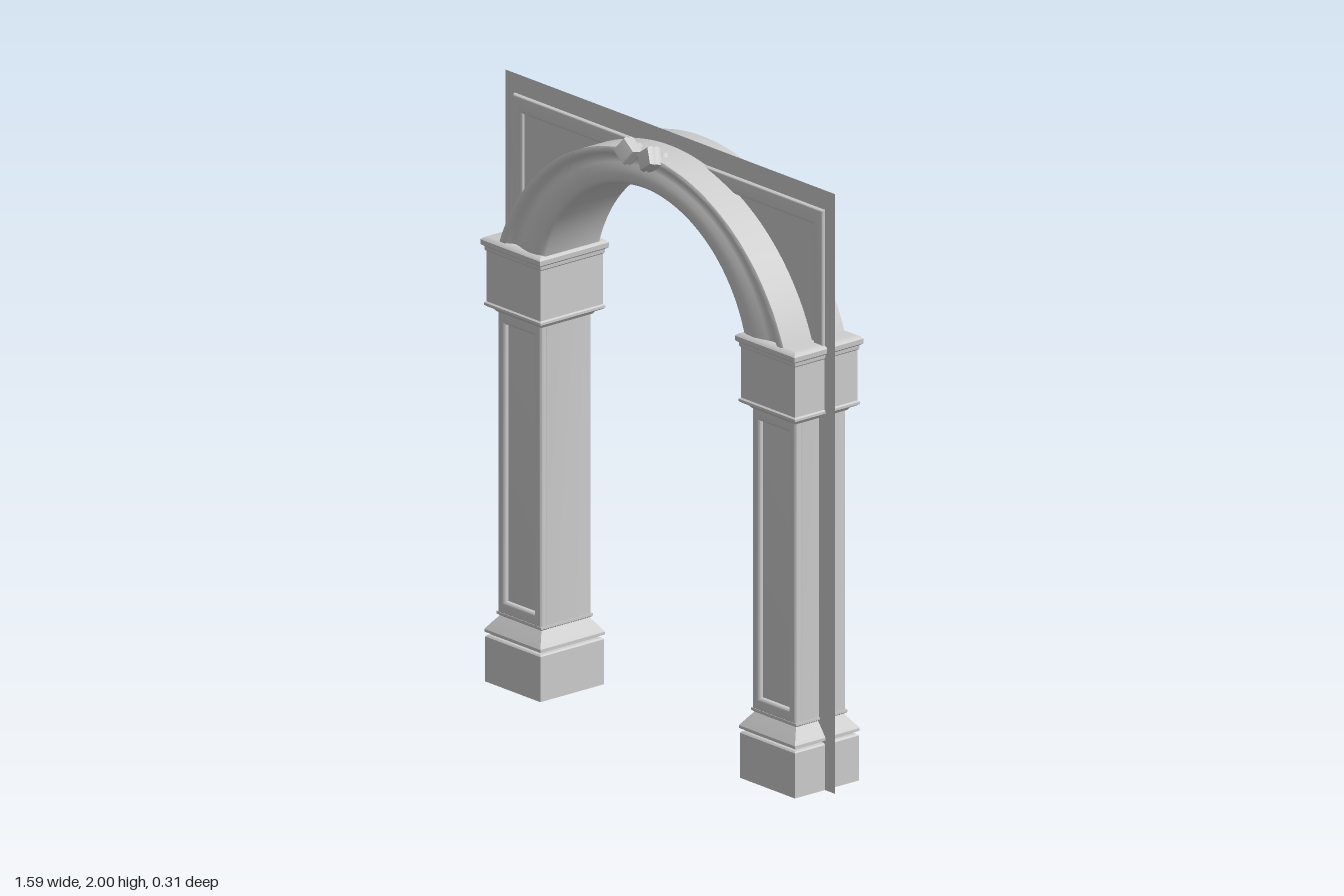
import * as THREE from 'three';
import { toCreasedNormals } from 'three/addons/utils/BufferGeometryUtils.js';

const ZC = -0.015; // middle of the pillars and arch in depth
const PX = 0.613; // pillar distance from the centre line
const material = new THREE.MeshStandardMaterial({ color: 0xcccccc });
const thin = new THREE.MeshStandardMaterial({ color: 0xcccccc, side: THREE.DoubleSide });

function add(parent, name, geometry, mat = material) {
  const mesh = new THREE.Mesh(geometry, mat);
  mesh.name = name;
  parent.add(mesh);
  return mesh;
}

// Square moulding from a profile of [half width, height]
function squareTurned(profile, crease = 0.45) {
  const points = profile.map(([r, y]) => new THREE.Vector2(r * Math.SQRT2, y));
  return toCreasedNormals(new THREE.LatheGeometry(points, 4, Math.PI / 4), crease);
}

function rectangle(Type, x0, y0, x1, y1) {
  return new Type([[x0, y0], [x1, y0], [x1, y1], [x0, y1]].map(p => new THREE.Vector2(...p)));
}

function makePillar(side) {
  const pillar = new THREE.Group();
  pillar.name = side > 0 ? 'leftPillar' : 'rightPillar';
  pillar.position.set(side * PX, 0, ZC);

  add(pillar, 'base', squareTurned([
    [0, 0], [0.133, 0], [0.133, 0.15], [0.128, 0.155], [0.12, 0.157], [0.12, 0.164],
    [0.135, 0.166], [0.135, 0.175], [0.117, 0.2], [0.1, 0.222], [0.108, 0.228], [0.108, 0.236], [0, 0.236],
  ]));

  // Shaft with softened vertical edges
  const b = 0.01;
  const body = new THREE.ExtrudeGeometry(rectangle(THREE.Shape, -0.105 + b, 0.235, 0.105 - b, 1.24), {
    depth: 0.175, bevelSize: b, bevelThickness: b, bevelSegments: 3,
  });
  body.translate(0, 0, -0.095);
  add(pillar, 'shaft', toCreasedNormals(body, 0.6));

  // Raised border around the sunken front of the shaft
  const border = rectangle(THREE.Shape, -0.105 + b, 0.24, 0.105 - b, 1.235);
  border.holes.push(rectangle(THREE.Path, -0.08, 0.265, 0.08, 1.21));
  const borderGeo = new THREE.ExtrudeGeometry(border, {
    depth: 0.012, bevelSize: b, bevelThickness: 0.008, bevelSegments: 3,
  });
  borderGeo.translate(0, 0, 0.087);
  add(pillar, 'shaftBorder', toCreasedNormals(borderGeo, 0.6));

  add(pillar, 'capital', squareTurned([
    [0, 1.235], [0.107, 1.235], [0.115, 1.246], [0.127, 1.25], [0.136, 1.256], [0.136, 1.264],
    [0.13, 1.268], [0.13, 1.436], [0.134, 1.44], [0.135, 1.452], [0.143, 1.458], [0.144, 1.474],
    [0.138, 1.48], [0.125, 1.485], [0, 1.485],
  ]));
  return pillar;
}

// Moulded arch: a cross-section swept between an inner and an outer arc
function archGeometry() {
  const front = [
    [0, 0.112], [0.05, 0.122], [0.12, 0.127], [0.3, 0.129], [0.46, 0.125], [0.58, 0.117],
    [0.68, 0.112], [0.76, 0.114], [0.82, 0.124], [0.88, 0.13], [0.97, 0.13], [1, 0.127],
  ];
  const section = [...front, ...front.map(([t, z]) => [t, -z]).reverse()];
  const inner = { r: 0.502, y: 1.333 }, outer = { r: 0.731, y: 1.224 };
  const foot = 1.45, steps = 64, n = section.length;
  const onArc = (arc, u) => {
    const start = Math.asin((foot - arc.y) / arc.r);
    const a = start + u * (Math.PI - 2 * start);
    return new THREE.Vector3(arc.r * Math.cos(a), arc.y + arc.r * Math.sin(a), ZC);
  };
  const positions = [], index = [];
  for (let i = 0; i <= steps; i++) {
    const p = onArc(inner, i / steps), q = onArc(outer, i / steps);
    for (const [t, z] of section) {
      const v = p.clone().lerp(q, t);
      positions.push(v.x, v.y, v.z + z);
    }
    if (i === steps) break;
    for (let j = 0; j < n; j++) {
      const a = i * n + j, c = i * n + (j + 1) % n;
      index.push(a, c, a + n, c, c + n, a + n);
    }
  }
  const geometry = new THREE.BufferGeometry();
  geometry.setAttribute('position', new THREE.Float32BufferAttribute(positions, 3));
  geometry.setIndex(index);
  return toCreasedNormals(geometry, 0.8);
}

// Thin wall behind the pillars, cut out under the arch
function panelGeometry() {
  const r = 0.6, cy = 1.28, a = Math.asin(0.2 / r), x = r * Math.cos(a);
  const shape = new THREE.Shape();
  shape.moveTo(-0.793, 0);
  shape.lineTo(-x, 0);
  shape.lineTo(-x, 1.48);
  shape.absarc(0, cy, r, Math.PI - a, a, true);
  shape.lineTo(x, 0);
  shape.lineTo(0.793, 0);
  shape.lineTo(0.793, 2);
  shape.lineTo(-0.793, 2);
  return new THREE.ShapeGeometry(shape, 40).translate(0, 0, -0.007);
}

// Rounded frame around the top of the wall
function frameGeometry() {
  const b = 0.012;
  const corners = [
    [-0.747 + b, 1.46], [-0.7 - b, 1.46], [-0.7 - b, 1.877 + b], [0.7 + b, 1.877 + b],
    [0.7 + b, 1.46], [0.747 - b, 1.46], [0.747 - b, 1.935 - b], [-0.747 + b, 1.935 - b],
  ];
  const shape = new THREE.Shape(corners.map(p => new THREE.Vector2(...p)));
  const geometry = new THREE.ExtrudeGeometry(shape, {
    depth: 0.004, bevelSize: b, bevelThickness: 0.01, bevelSegments: 4,
  });
  return toCreasedNormals(geometry.translate(0, 0, -0.009), 0.7);
}

// Small flared knob leaning out from the crown
function makeKnob(side) {
  const knob = add(new THREE.Group(), side > 0 ? 'leftKnob' : 'rightKnob', squareTurned([
    [0, 0], [0.012, 0], [0.018, 0.008], [0.018, 0.02], [0.013, 0.028], [0.02, 0.038],
    [0.029, 0.045], [0.032, 0.06], [0.029, 0.07], [0.032, 0.08], [0.028, 0.095], [0, 0.098],
  ], 0.7));
  const direction = new THREE.Vector3(-side * 0.14, 0.25, 0.95).normalize();
  knob.position.set(side * 0.063, 1.934, 0.055);
  knob.quaternion.setFromUnitVectors(new THREE.Vector3(0, 1, 0), direction);
  knob.rotateY(side * 0.5);
  return knob;
}

export function createModel() {
  const model = new THREE.Group();
  model.name = 'archway';
  add(model, 'backPanel', panelGeometry(), thin);
  add(model, 'panelFrame', frameGeometry());
  add(model, 'arch', archGeometry());
  for (const side of [-1, 1]) model.add(makePillar(side), makeKnob(side));
  return model;
}
